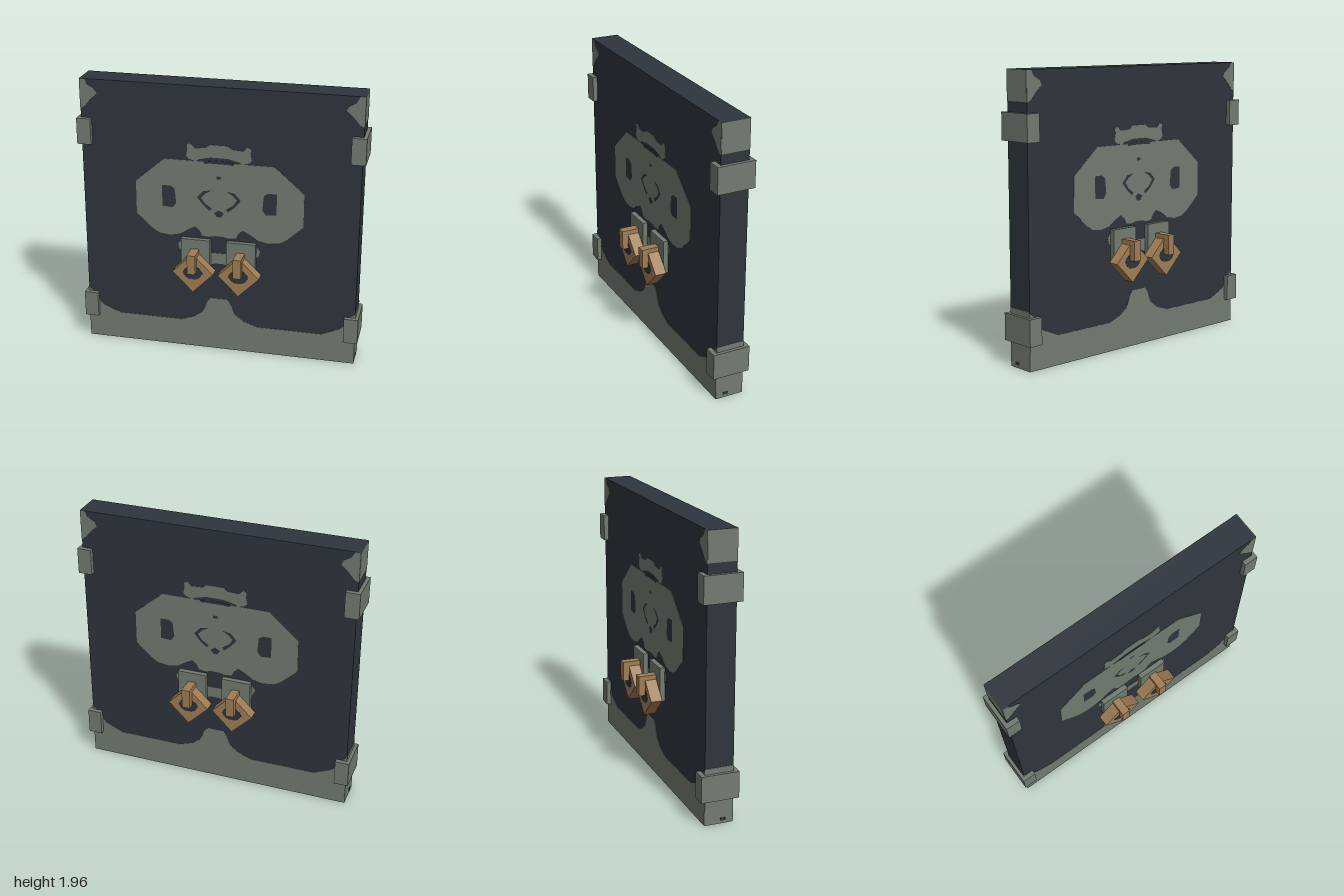
import * as THREE from 'three';

export function createModel() {
  const slate = new THREE.MeshStandardMaterial({ name: 'darkSlate', color: 0x2e353c });
  const stone = new THREE.MeshStandardMaterial({ name: 'greyStone', color: 0x717b70 });
  const bronze = new THREE.MeshStandardMaterial({ name: 'bronze', color: 0xa07d55 });
  const model = new THREE.Group();
  model.name = 'door';
  const PAINT = 0.004;

  const box = (parent, name, mat, x0, x1, y0, y1, z0, z1) => {
    const m = new THREE.Mesh(new THREE.BoxGeometry(x1 - x0, y1 - y0, z1 - z0), mat);
    m.position.set((x0 + x1) / 2, (y0 + y1) / 2, (z0 + z1) / 2);
    m.name = name;
    parent.add(m);
    return m;
  };
  const vecs = (pts) => pts.map(([x, y]) => new THREE.Vector2(x, y));
  const flip = (pts) => pts.map(([x, y]) => [-x, y]).reverse();
  // closes a right-hand half outline, listed top to bottom, with its mirror image
  const mirrored = (half) => [...half, ...flip(half)];
  const plate = (parent, name, mat, pts, z, holes = []) => {
    const shape = new THREE.Shape(vecs(pts));
    shape.holes = holes.map((h) => new THREE.Path(vecs(h)));
    const m = new THREE.Mesh(
      new THREE.ExtrudeGeometry(shape, { depth: PAINT, bevelEnabled: false }), mat);
    m.position.z = z;
    m.name = name;
    parent.add(m);
  };

  // slab
  box(model, 'slab', slate, -0.975, 0.975, 0, 1.96, -0.1, 0.1);

  // edge brackets and painted slab edges
  for (const s of [-1, 1]) {
    const edge = new THREE.Group();
    edge.name = s > 0 ? 'leftEdge' : 'rightEdge';
    for (const [y0, y1] of [[0.175, 0.36], [1.5, 1.685]])
      box(edge, 'bracket', stone, 0.9, 1, y0, y1, -0.133, 0.133);
    box(edge, 'lowerEdgePatch', stone, 0.973, 0.978, 0, 0.4, -0.1, 0.1);
    box(edge, 'upperEdgePatch', stone, 0.973, 0.978, 1.755, 1.96, -0.1, 0.1);
    box(edge, 'edgeFleck', slate, 0.975, 0.98, 0.02, 0.04, 0.01, 0.05);
    if (s < 0) edge.children.forEach((m) => { m.position.x *= -1; });
    model.add(edge);
  }

  // outlines of the emblem and trim
  const body = mirrored([
    [0.385, 1.43], [0.42, 1.4], [0.593, 1.25], [0.593, 1.01], [0.48, 0.905], [0.43, 0.875],
    [0.35, 0.865], [0.28, 0.88], [0.22, 0.92], [0.17, 0.945], [0.14, 0.92], [0.12, 0.88],
    [0.07, 0.875], [0.03, 0.885]]);
  const eye = [[0.315, 1.215], [0.345, 1.235], [0.405, 1.235], [0.405, 1.08], [0.33, 1.075],
    [0.305, 1.11]];
  const chevron = [[0.05, 1.225], [0.11, 1.215], [0.155, 1.165], [0.11, 1.11], [0.065, 1.07],
    [0.05, 1.09], [0.1, 1.125], [0.127, 1.165], [0.1, 1.195]];
  const chin = [[-0.035, 1.06], [0, 1.08], [0.035, 1.06], [0.015, 1.03], [-0.015, 1.03]];
  const dot = [[-0.016, 1.33], [0.016, 1.33], [0.016, 1.31], [-0.016, 1.31]];
  const crown = mirrored([
    [0.06, 1.553], [0.09, 1.53], [0.17, 1.525], [0.2, 1.555], [0.225, 1.545], [0.22, 1.51],
    [0.23, 1.465], [0.215, 1.445], [0.165, 1.428], [0.14, 1.445], [0.06, 1.463]]);
  const gap = mirrored([[0.04, 1.44], [0.11, 1.43], [0.1, 1.415], [0.06, 1.42]]);
  const jaw = mirrored([
    [0.1, 0.755], [0.2, 0.76], [0.27, 0.83], [0.295, 0.8], [0.285, 0.765], [0.24, 0.72],
    [0.06, 0.665], [0.03, 0.675]]);
  const base = mirrored([
    [0.06, 0.4], [0.085, 0.37], [0.1, 0.325], [0.12, 0.285], [0.18, 0.24], [0.28, 0.205],
    [0.74, 0.205], [0.87, 0.262], [0.925, 0.32], [0.95, 0.37], [0.975, 0.39], [0.975, 0]]);
  const corner = [[0.94, 1.96], [0.92, 1.92], [0.87, 1.89], [0.855, 1.86], [0.9, 1.82],
    [0.945, 1.767], [0.975, 1.75], [0.975, 1.96]];
  const socket = mirrored([
    [0.03, 0.052], [0.06, 0.027], [0.072, 0], [0.05, -0.032], [0.025, -0.046]]);

  // both faces carry the same decoration and knockers
  for (const turn of [0, Math.PI]) {
    const face = new THREE.Group();
    face.name = turn ? 'backFace' : 'frontFace';
    face.rotation.y = turn;
    const z = 0.1 - PAINT / 2;
    plate(face, 'emblem', stone, body, z,
      [eye, flip(eye), chevron, flip(chevron), chin, dot]);
    plate(face, 'crown', stone, crown, z);
    plate(face, 'crownGap', slate, gap, z + 0.001);
    plate(face, 'jaw', stone, jaw, z);
    plate(face, 'baseTrim', stone, base, z);
    plate(face, 'cornerTrim', stone, corner, z);
    plate(face, 'cornerTrim', stone, flip(corner), z);

    for (const x of [-0.163, 0.163]) {
      const knocker = new THREE.Group();
      knocker.name = 'knocker';
      knocker.position.x = x;
      box(knocker, 'backPlate', stone, -0.104, 0.104, 0.615, 0.858, 0.1, 0.135);
      const ring = box(knocker, 'ring', bronze, -0.103, 0.103, 0.534, 0.74, 0.134, 0.215);
      ring.rotation.z = Math.PI / 4;
      plate(knocker, 'ringOpening', slate, socket.map(([a, b]) => [a, b + 0.637]), 0.213);
      box(knocker, 'hanger', bronze, -0.029, 0.029, 0.646, 0.787, 0.134, 0.26);
      face.add(knocker);
    }
    model.add(face);
  }
  return model;
}
